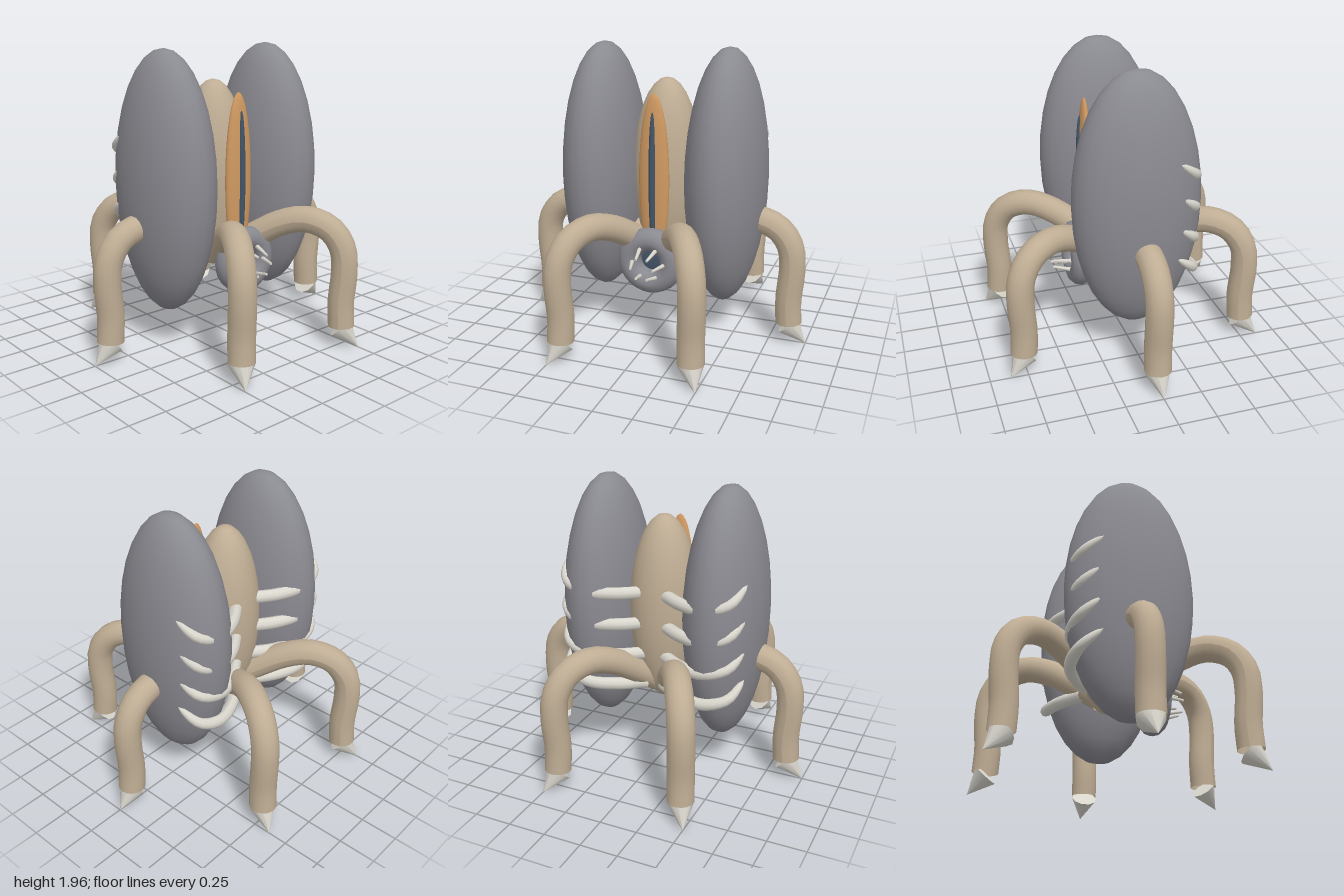
import * as THREE from 'three';

const mat = (name, color, side = THREE.FrontSide) => {
  const m = new THREE.MeshStandardMaterial({ color, side });
  m.name = name;
  return m;
};

const v = (x, y, z) => new THREE.Vector3(x, y, z);

export function createModel() {
  const shellGrey = mat('shell grey', 0x8a8a91);
  const tan = mat('tan hide', 0xbfad94, THREE.DoubleSide);
  const amber = mat('amber', 0xd09a62);
  const darkBlue = mat('dark blue', 0x435567);
  const bone = mat('bone', 0xd8d5cc);

  const model = new THREE.Group();
  model.name = 'creature';

  const add = (name, geometry, material, parent = model) => {
    const mesh = new THREE.Mesh(geometry, material);
    mesh.name = name;
    parent.add(mesh);
    return mesh;
  };
  const ball = new THREE.SphereGeometry(1, 24, 16);
  const ellipsoid = (name, material, center, radii) => {
    const mesh = add(name, ball, material);
    mesh.position.set(...center);
    mesh.scale.set(...radii);
    return mesh;
  };

  // Tube along a curve whose radius follows a rule of t
  const taperedTube = (points, steps, sides, radiusAt) => {
    const curve = new THREE.CatmullRomCurve3(points);
    const geo = new THREE.TubeGeometry(curve, steps, 1, sides);
    const pos = geo.attributes.position;
    const p = v(0, 0, 0);
    for (let i = 0; i < pos.count; i++) {
      const t = Math.floor(i / (sides + 1)) / steps;
      const c = curve.getPointAt(t);
      p.fromBufferAttribute(pos, i).sub(c).multiplyScalar(radiusAt(t)).add(c);
      pos.setXYZ(i, p.x, p.y, p.z);
    }
    geo.computeVertexNormals();
    return geo;
  };

  // Body, eye plate and slit pupil
  ellipsoid('body', tan, [0, 1.1, -0.04], [0.23, 0.64, 0.23]);
  ellipsoid('eye', amber, [0, 1.1, 0.215], [0.104, 0.575, 0.046]);
  ellipsoid('pupil', darkBlue, [0, 1.1, 0.245], [0.026, 0.46, 0.032]);

  // Mouth ring with throat and teeth
  add('mouthRing', new THREE.TorusGeometry(0.147, 0.079, 12, 28), shellGrey).position.set(0, 0.57, 0.28);
  ellipsoid('throat', darkBlue, [0, 0.57, 0.215], [0.16, 0.16, 0.05]);
  const toothGeo = new THREE.CylinderGeometry(0.009, 0.016, 0.16, 8);
  for (let i = 0; i < 6; i++) {
    const a = (i * Math.PI) / 3;
    const base = v(Math.cos(a) * 0.12, 0.57 + Math.sin(a) * 0.12, 0.31);
    const tip = v(Math.cos(a) * 0.075, 0.57 + Math.sin(a) * 0.075, 0.46);
    const tooth = add('tooth', toothGeo, bone);
    tooth.position.copy(base).lerp(tip, 0.5);
    tooth.quaternion.setFromUnitVectors(v(0, 1, 0), tip.sub(base).normalize());
  }

  // Side shells, each wrapped by four curved ribs
  for (const s of [1, -1]) {
    ellipsoid(s > 0 ? 'leftShell' : 'rightShell', shellGrey, [s * 0.43, 1.107, 0], [0.263, 0.855, 0.422]);
    for (let i = 0; i < 4; i++) {
      const y = 0.6 + i * 0.215;
      const path = [
        v(s * 0.06, y, -0.19), v(s * 0.24, y, -0.31), v(s * 0.42, y + 0.01, -0.365),
        v(s * 0.57, y + 0.06, -0.335), v(s * 0.635, y + 0.16, -0.21),
      ];
      add('rib', taperedTube(path, 20, 10, t => 0.042 * Math.sqrt(1 - t ** 4)), bone);
    }
  }

  // Six arched legs ending in claws
  const legPath = [
    [0.08, 0.58], [0.28, 0.71], [0.45, 0.805], [0.62, 0.848], [0.78, 0.8],
    [0.87, 0.68], [0.888, 0.52], [0.872, 0.3], [0.88, 0.14],
  ].map(([r, y]) => v(r, y, 0));
  const legGeo = taperedTube(legPath, 24, 16, () => 0.088);
  const clawGeo = new THREE.ConeGeometry(0.088, 0.177, 10);
  for (let i = 0; i < 6; i++) {
    const leg = new THREE.Group();
    leg.name = 'leg';
    leg.rotation.y = (i * Math.PI) / 3;
    add('legTube', legGeo, tan, leg);
    const claw = add('claw', clawGeo, bone, leg);
    claw.position.set(0.9375, 0.0635, 0);
    claw.rotation.z = (-3 * Math.PI) / 4;
    model.add(leg);
  }

  return model;
}
